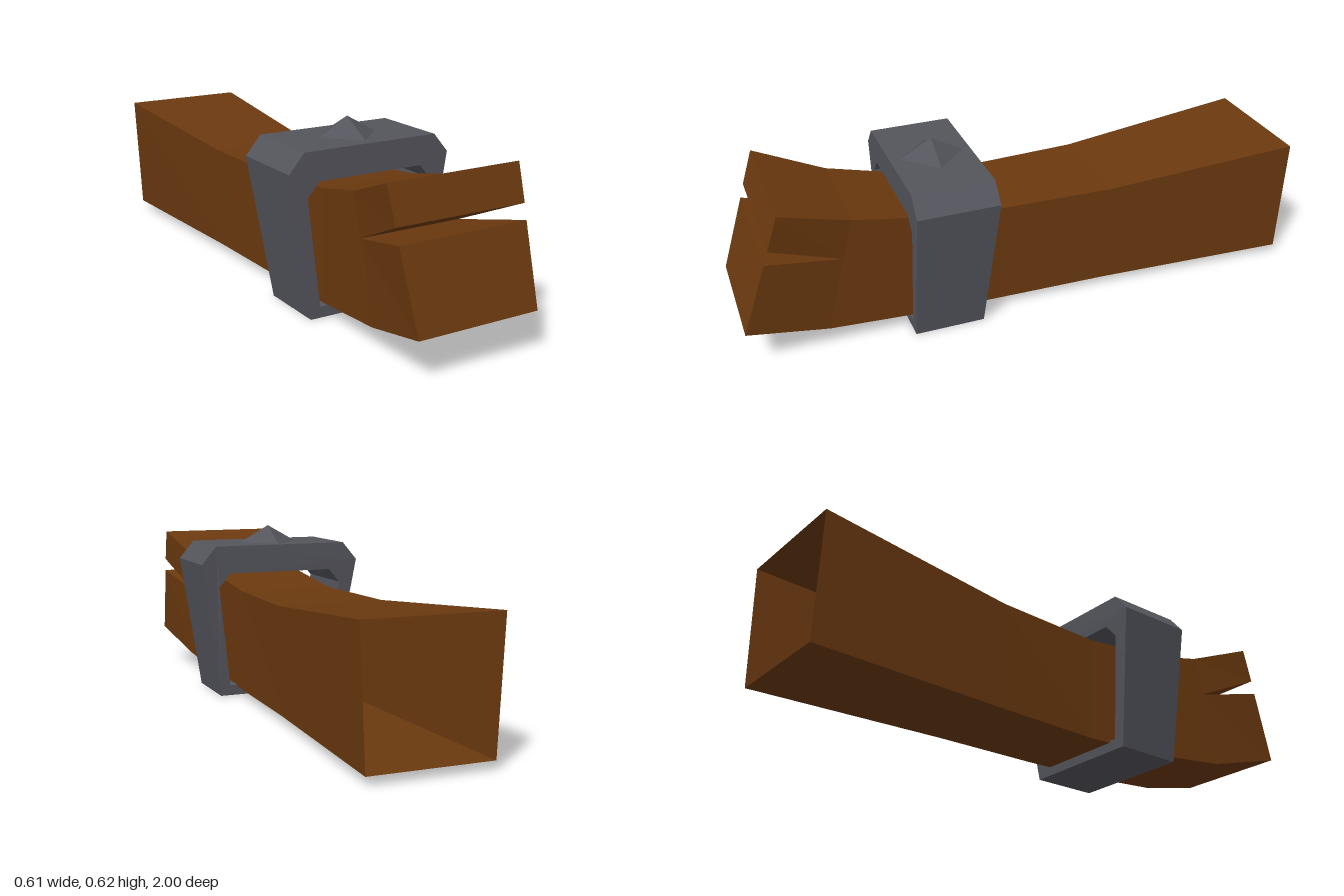
import * as THREE from 'three';

const wood = new THREE.MeshStandardMaterial({ color: 0x6b390f, flatShading: true, side: THREE.DoubleSide });
wood.name = 'brown wood';
const iron = new THREE.MeshStandardMaterial({ color: 0x54555c, flatShading: true });
iron.name = 'grey iron';

// Four-sided loft along z; each section is bottom [z, y, halfWidth] and top [z, y, halfWidth]
function loft(name, sections, capEnd) {
  const pos = [], index = [];
  for (const [[zb, yb, wb], [zt, yt, wt]] of sections) {
    pos.push(-wb, yb, zb, wb, yb, zb, wt, yt, zt, -wt, yt, zt);
  }
  for (let s = 0; s < sections.length - 1; s++) {
    for (let i = 0; i < 4; i++) {
      const a = s * 4 + i, b = s * 4 + (i + 1) % 4;
      index.push(a, b, b + 4, a, b + 4, a + 4);
    }
  }
  if (capEnd) {
    const e = (sections.length - 1) * 4;
    index.push(e, e + 1, e + 2, e, e + 2, e + 3);
  }
  const geo = new THREE.BufferGeometry();
  geo.setAttribute('position', new THREE.Float32BufferAttribute(pos, 3));
  geo.setIndex(index);
  geo.computeVertexNormals();
  const mesh = new THREE.Mesh(geo, wood);
  mesh.name = name;
  return mesh;
}

// Closed outline mirrored in x from its right-hand points, listed bottom to top
function mirrored(points, Type) {
  const all = [...points, ...points.slice().reverse().map(([x, y]) => [-x, y])];
  return new Type(all.map(([x, y]) => new THREE.Vector2(x, y)));
}

export function createModel() {
  const group = new THREE.Group();
  group.name = 'splitHandle';

  // Hollow handle, open at the back, ending at the root of the split
  const rootBottom = [0.72, 0.07, 0.182], split = [0.655, 0.335, 0.187], rootTop = [0.62, 0.475, 0.19];
  group.add(loft('handle', [
    [[-1, 0.03, 0.207], [-1, 0.462, 0.228]],
    [[-0.3, 0.03, 0.172], [-0.3, 0.402, 0.186]],
    [[0.1, 0.028, 0.16], [0.1, 0.4, 0.17]],
    [[0.42, 0.04, 0.165], [0.42, 0.432, 0.172]],
    [rootBottom, rootTop],
  ], false));

  // Two jaws of the split end
  group.add(loft('lowerJaw', [[rootBottom, split], [[1, 0.14, 0.218], [0.915, 0.396, 0.232]]], true));
  group.add(loft('upperJaw', [[split, rootTop], [[0.9, 0.445, 0.235], [0.86, 0.565, 0.24]]], true));

  // Iron band with chamfered top corners and a leaning back face
  const outline = mirrored([[0.225, 0], [0.305, 0.495], [0.25, 0.56]], THREE.Shape);
  outline.holes.push(mirrored([[0.19, 0.038], [0.238, 0.41], [0.195, 0.46]], THREE.Path));
  const bandGeo = new THREE.ExtrudeGeometry(outline, { depth: 1, bevelEnabled: false });
  const p = bandGeo.attributes.position;
  for (let i = 0; i < p.count; i++) {
    const back = 0.19 - 0.038 * Math.min(1, p.getY(i) / 0.495);
    p.setZ(i, p.getZ(i) > 0.5 ? 0.436 : back);
  }
  bandGeo.computeVertexNormals();
  const band = new THREE.Mesh(bandGeo, iron);
  band.name = 'ironBand';
  group.add(band);

  // Pyramid stud on top of the band
  const stud = new THREE.Mesh(new THREE.ConeGeometry(0.11, 0.062, 4), iron);
  stud.name = 'stud';
  stud.position.set(0, 0.591, 0.29);
  group.add(stud);

  return group;
}
